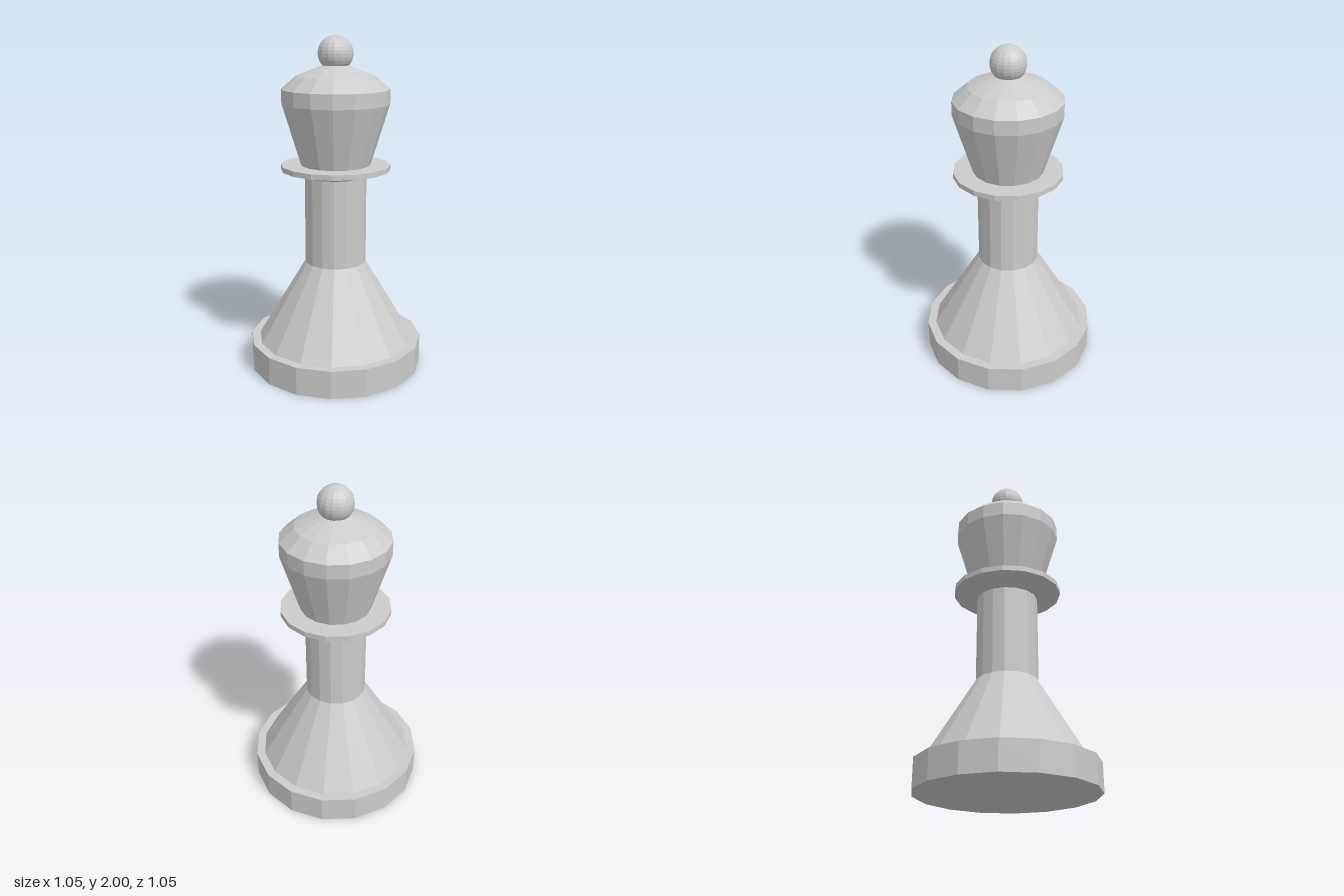
import * as THREE from 'three';

const SIDES = 16;

export function createModel() {
  const group = new THREE.Group();
  group.name = 'chessPiece';
  const material = new THREE.MeshStandardMaterial({ color: 0xcccccc, flatShading: true });

  function add(name, geometry) {
    const mesh = new THREE.Mesh(geometry, material);
    mesh.name = name;
    group.add(mesh);
    return mesh;
  }

  // Faceted turned part from [radius, height] pairs, listed bottom to top
  function turned(name, profile) {
    const points = profile.map(([r, y]) => new THREE.Vector2(r, y));
    return add(name, new THREE.LatheGeometry(points, SIDES));
  }

  // Disc foot with a narrow flat rim around the skirt
  turned('base', [[0, 0], [0.527, 0], [0.527, 0.17], [0.475, 0.17]]);

  // Sloping skirt and straight shaft
  turned('skirt', [[0.475, 0.17], [0.184, 0.655]]);
  turned('shaft', [[0.184, 0.655], [0.184, 1.185]]);

  // Thin collar, bevelled underneath
  turned('collar', [[0.184, 1.185], [0.325, 1.222], [0.325, 1.253], [0.208, 1.253]]);

  // Flared head, upright band and two-step dome
  turned('head', [[0.208, 1.253], [0.317, 1.61], [0.317, 1.695]]);
  turned('dome', [[0.317, 1.695], [0.23, 1.77], [0.06, 1.836], [0, 1.836]]);

  // Round finial sunk slightly into the dome
  add('finial', new THREE.SphereGeometry(0.103, SIDES, SIDES)).position.y = 1.897;

  return group;
}
